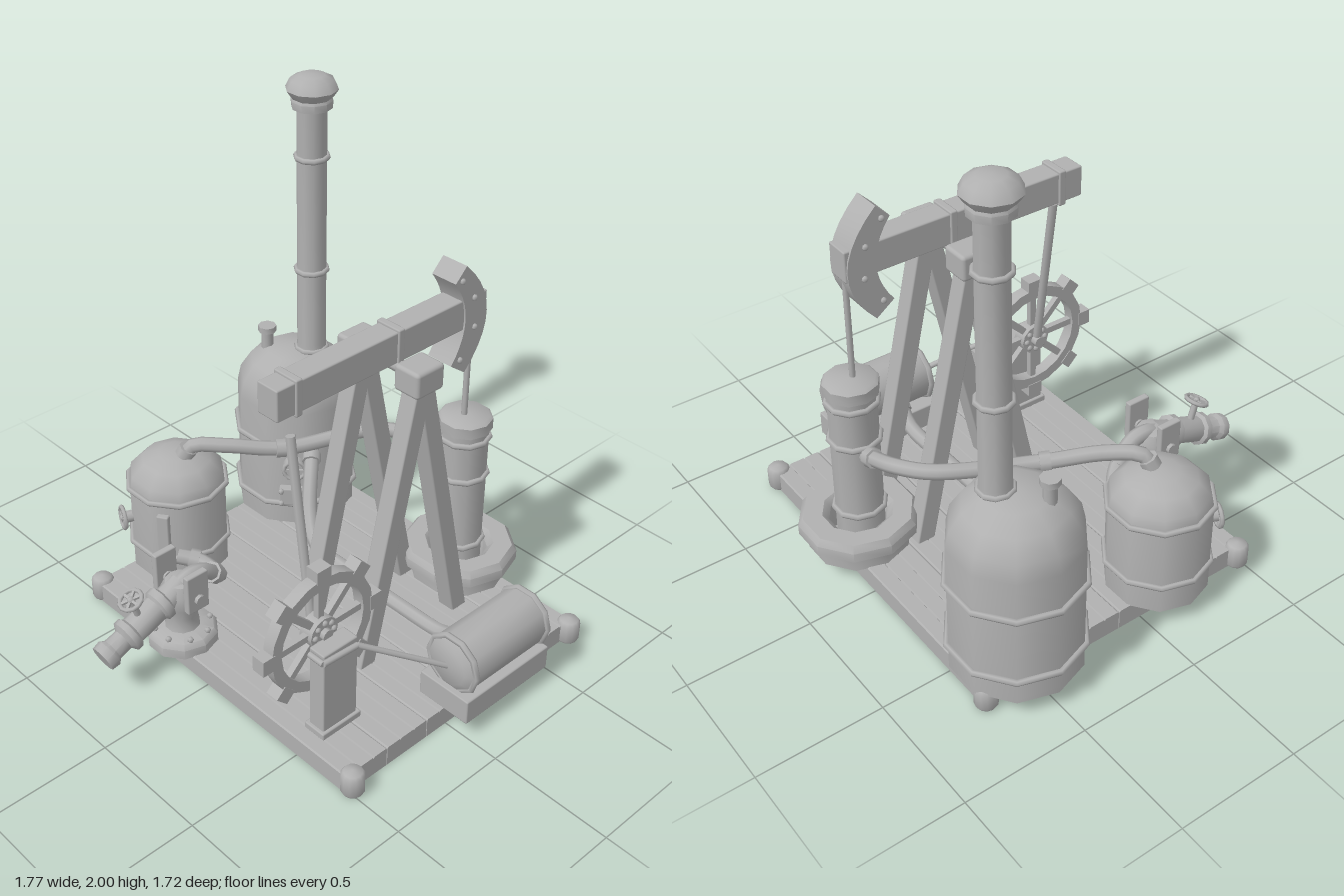
import * as THREE from 'three';
import { toCreasedNormals } from 'three/addons/utils/BufferGeometryUtils.js';
import { RoundedBoxGeometry } from 'three/addons/geometries/RoundedBoxGeometry.js';

const V = (p) => new THREE.Vector3(...p);
const UP = new THREE.Vector3(0, 1, 0);

export function createModel() {
  const model = new THREE.Group();
  model.name = 'beamPumpEngine';
  const grey = new THREE.MeshStandardMaterial({ color: 0xb0b0b0 });
  grey.name = 'plain grey';

  const add = (name, geo, pos = [0, 0, 0], dir = null, parent = model) => {
    const m = new THREE.Mesh(geo, grey);
    m.name = name;
    m.position.set(...pos);
    if (dir) m.quaternion.setFromUnitVectors(UP, V(dir).normalize());
    parent.add(m);
    return m;
  };
  const box = (name, w, h, d, pos) => add(name, new RoundedBoxGeometry(w, h, d, 1, 0.006), pos);
  // turned part: profile of [radius, height] from bottom to top along dir
  const turned = (name, pts, pos, dir, sides = 10) => add(name, toCreasedNormals(
    new THREE.LatheGeometry(pts.map((p) => new THREE.Vector2(...p)), sides, Math.PI / 2), 0.8), pos, dir);
  const band = (name, r, pos, dir = [0, 1, 0], t = 0.013) =>
    add(name, new THREE.TorusGeometry(r, t, 6, 10).rotateX(Math.PI / 2), pos, dir);
  const between = (name, a, b, geoFor) => {
    const d = V(b).sub(V(a));
    return add(name, geoFor(d.length()), V(a).add(V(b)).multiplyScalar(0.5).toArray(), d.toArray());
  };
  const rod = (name, a, b, r, sides = 8) => between(name, a, b, (l) => new THREE.CylinderGeometry(r, r, l, sides));
  const beam = (name, a, b, w, d) => between(name, a, b, (l) => new RoundedBoxGeometry(w, l, d, 1, 0.006));
  const pipe = (name, pts, r, collars) => {
    const curve = new THREE.CatmullRomCurve3(pts.map(V));
    add(name, new THREE.TubeGeometry(curve, 32, r, 8));
    collars.forEach((t) => {
      const c = curve.getPointAt(t), d = curve.getTangentAt(t).multiplyScalar(0.02);
      rod(name + 'Collar', c.clone().sub(d).toArray(), c.clone().add(d).toArray(), r * 1.3);
    });
  };
  const handWheel = (name, r, pos, dir) => {
    const g = new THREE.Group();
    g.name = name;
    add(name + 'Rim', new THREE.TorusGeometry(r, 0.009, 6, 12), [0, 0, 0], null, g);
    for (let i = 0; i < 3; i++) {
      add(name + 'Spoke', new THREE.BoxGeometry(r * 2, 0.01, 0.01), [0, 0, 0], null, g).rotation.z = i * Math.PI / 3;
    }
    add(name + 'Hub', new THREE.SphereGeometry(0.014, 8, 6), [0, 0, 0], null, g);
    g.position.set(...pos);
    g.quaternion.setFromUnitVectors(new THREE.Vector3(0, 0, 1), V(dir).normalize());
    model.add(g);
  };
  const bolt = (name, pos, parent = model) => add(name, new THREE.SphereGeometry(0.013, 6, 4), pos, null, parent);
  // outline in (-z, y), extruded along x
  const slab = (shape, depth, crease) => toCreasedNormals(new THREE.ExtrudeGeometry(shape,
    { depth, bevelEnabled: false, curveSegments: 10 }).rotateY(Math.PI / 2), crease);

  // plank platform: each plank has chamfered edges and narrow grain grooves
  const section = [[-0.101, 0], [0.101, 0], [0.101, 0.078], [0.096, 0.084]];
  for (const u of [0.035, -0.035]) section.push([u + 0.004, 0.084], [u, 0.077], [u - 0.004, 0.084]);
  section.push([-0.096, 0.084], [-0.101, 0.078]);
  const plank = slab(new THREE.Shape(section.map((p) => new THREE.Vector2(...p))), 1.455, 0.3);
  for (let i = 0; i < 6; i++) add('plank', plank, [-0.7, 0, 0.412 - i * 0.2055]);
  for (const x of [-0.7, 0.76]) for (const z of [0.485, -0.7]) {
    turned('cornerPost', [[0, 0], [0.038, 0], [0.045, 0.012], [0.045, 0.085], [0.036, 0.097], [0, 0.104]], [x, 0, z], null, 12);
  }

  // large boiler with chimney and relief pipe
  turned('largeBoiler', [[0, 0.08], [0.25, 0.08], [0.25, 0.63], [0.235, 0.7], [0.19, 0.77], [0.12, 0.815], [0, 0.825]], [-0.62, 0, -0.51]);
  for (const y of [0.185, 0.47]) band('largeBoilerBand', 0.255, [-0.62, y, -0.51]);
  turned('chimney', [[0.068, 0.78], [0.06, 0.85], [0.06, 1.87], [0.08, 1.87], [0.083, 1.9], [0.078, 1.91], [0.09, 1.925],
    [0.103, 1.945], [0.085, 1.98], [0.05, 1.997], [0, 2]], [-0.57, 0, -0.555]);
  for (const y of [0.825, 1.185, 1.67]) band('chimneyBand', 0.062, [-0.57, y, -0.555], [0, 1, 0], 0.012);
  turned('reliefPipe', [[0.025, 0.72], [0.025, 0.88], [0.038, 0.88], [0.038, 0.905], [0, 0.905]], [-0.715, 0, -0.44], null, 8);
  rod('boilerGauge', [-0.45, 0.38, -0.35], [-0.425, 0.38, -0.325], 0.05, 12);
  handWheel('boilerGaugeDial', 0.045, [-0.42, 0.38, -0.32], [0.72, 0, 0.69]);
  box('fireDoor', 0.13, 0.08, 0.04, [-0.435, 0.24, -0.335]).rotation.y = Math.PI / 4;
  for (const s of [-1, 1]) for (const y of [0.21, 0.27]) bolt('fireDoorBolt', [-0.42 + s * 0.04, y, -0.32 - s * 0.04]);

  // small boiler with valve wheel and door plate
  turned('smallBoiler', [[0, 0.08], [0.2, 0.08], [0.2, 0.46], [0.19, 0.51], [0.14, 0.56], [0.07, 0.588], [0, 0.592]], [-0.625, 0, 0.135]);
  for (const y of [0.2, 0.46]) band('smallBoilerBand', 0.203, [-0.625, y, 0.135], [0, 1, 0], 0.012);
  rod('boilerValveStem', [-0.69, 0.32, 0.3], [-0.71, 0.32, 0.35], 0.025);
  handWheel('boilerValveWheel', 0.045, [-0.712, 0.32, 0.352], [-0.4, 0, 1]);
  box('boilerDoor', 0.05, 0.21, 0.05, [-0.52, 0.305, 0.29]).rotation.y = 0.55;

  // pipes
  pipe('steamPipe', [[-0.59, 0.57, 0.13], [-0.56, 0.63, 0.1], [-0.47, 0.63, 0], [-0.34, 0.595, -0.19], [-0.17, 0.61, -0.54],
    [-0.06, 0.6, -0.62], [0.06, 0.56, -0.635], [0.15, 0.53, -0.635]], 0.03, [0.03, 0.36, 0.95]);
  pipe('feedPipe', [[-0.42, 0.47, -0.42], [-0.35, 0.44, -0.35], [-0.24, 0.28, -0.24], [-0.15, 0.21, -0.195], [0, 0.195, -0.19],
    [0.3, 0.19, -0.19], [0.54, 0.195, -0.19], [0.62, 0.235, -0.18], [0.68, 0.28, -0.17]], 0.03, [0.06, 0.5, 0.95]);
  pipe('pumpPipe', [[-0.47, 0.22, 0.27], [-0.4, 0.2, 0.21], [-0.32, 0.19, 0.2], [-0.24, 0.25, 0.25], [-0.21, 0.34, 0.35],
    [-0.21, 0.355, 0.42], [-0.21, 0.335, 0.48]], 0.033, [0.12, 0.62]);

  // outlet pump
  const px = -0.21, pz = 0.46;
  turned('pumpBase', [[0, 0.08], [0.14, 0.08], [0.14, 0.12], [0.125, 0.14], [0.07, 0.15], [0.06, 0.2], [0.08, 0.26],
    [0.08, 0.32], [0.06, 0.36], [0, 0.375]], [px, 0, pz]);
  for (let i = 0; i < 8; i++) {
    const a = i * Math.PI / 4 + 0.4;
    bolt('baseBolt', [px + 0.11 * Math.cos(a), 0.147, pz + 0.11 * Math.sin(a)]);
  }
  for (const s of [-1, 1]) {
    box('pumpCheek', 0.03, 0.17, 0.1, [px + s * 0.095, 0.36, pz]);
    rod('cheekBolt', [px + s * 0.07, 0.33, pz], [px + s * 0.125, 0.33, pz], 0.022);
  }
  turned('outletNozzle', [[0.05, 0], [0.05, 0.08], [0.068, 0.09], [0.068, 0.12], [0.055, 0.13], [0.055, 0.25], [0.068, 0.26],
    [0.068, 0.285], [0.043, 0.3], [0.045, 0.355], [0.058, 0.37], [0.054, 0.405], [0, 0.405]], [px, 0.335, pz], [0, -0.36, 0.93]);
  rod('outletValveStem', [px, 0.27, 0.655], [px, 0.39, 0.69], 0.014);
  handWheel('outletValveWheel', 0.045, [px, 0.39, 0.692], [0, 0.9, 0.42]);

  // A-frames, one each side of the walking beam
  for (const x of [0.077, 0.366]) {
    for (const z of [0.06, -0.455]) beam('frameLeg', [x, 0.07, z], [x, 1.24, -0.195], 0.075, 0.075);
    add('frameCap', new RoundedBoxGeometry(0.118, 0.105, 0.138, 2, 0.015), [x, 1.252, -0.195]);
  }
  rod('beamAxle', [0.05, 1.25, -0.195], [0.39, 1.25, -0.195], 0.025);

  // walking beam with curved head
  const bx = 0.222;
  box('walkingBeam', 0.1, 0.125, 1.03, [bx, 1.328, -0.13]);
  for (const z of [0.29, -0.195]) box('beamStrap', 0.115, 0.145, 0.03, [bx, 1.328, z]);
  const head = new THREE.Shape();
  head.moveTo(0.535, 1.085);
  head.quadraticCurveTo(0.755, 1.31, 0.515, 1.535);
  head.lineTo(0.46, 1.48);
  head.quadraticCurveTo(0.59, 1.31, 0.46, 1.14);
  add('beamHead', slab(head, 0.115, 0.6), [bx - 0.0575, 0, 0]);
  for (const s of [-1, 1]) for (const [y, z] of [[1.48, -0.495], [1.39, -0.565], [1.265, -0.575], [1.15, -0.505]]) {
    bolt('headRivet', [bx + s * 0.058, y, z]);
  }
  rod('pumpRod', [bx, 0.8, -0.62], [bx, 1.3, -0.62], 0.012);

  // well cylinder on its ring base
  turned('wellCylinder', [[0, 0.08], [0.095, 0.08], [0.095, 0.775], [0.107, 0.78], [0.107, 0.825], [0.095, 0.835], [0, 0.838]], [bx, 0, -0.63]);
  for (const y of [0.25, 0.57, 0.74]) band('cylinderBand', 0.097, [bx, y, -0.63]);
  turned('wellRing', [[0.115, 0.08], [0.2, 0.08], [0.2, 0.145], [0.235, 0.155], [0.235, 0.195], [0.215, 0.22], [0.14, 0.22],
    [0.115, 0.195], [0.115, 0.08]], [bx, 0, -0.64]);

  // flywheel with lugs and spokes
  const wheel = new THREE.Group();
  wheel.name = 'flywheel';
  const rim = new THREE.Shape().absarc(0, 0, 0.243, 0, Math.PI * 2);
  rim.holes.push(new THREE.Path().absarc(0, 0, 0.198, 0, Math.PI * 2, true));
  add('flywheelRim', slab(rim, 0.05, 0.7), [-0.025, 0, 0], null, wheel);
  for (let i = 0; i < 8; i++) {
    const arm = new THREE.Group();
    arm.name = 'flywheelArm';
    add('flywheelLug', new THREE.BoxGeometry(0.056, 0.055, 0.065), [0, 0.257, 0], null, arm);
    add('flywheelSpoke', new THREE.BoxGeometry(0.025, 0.19, 0.028), [0, 0.115, 0], null, arm);
    for (const s of [-1, 1]) bolt('hubBolt', [s * 0.03, 0.045, 0], arm);
    arm.rotation.x = i * Math.PI / 4;
    wheel.add(arm);
  }
  add('flywheelHub', new THREE.CylinderGeometry(0.065, 0.065, 0.06, 12), [0, 0, 0], [1, 0, 0], wheel);
  wheel.position.set(0.45, 0.475, 0.36);
  model.add(wheel);
  rod('wheelAxle', [0.39, 0.475, 0.36], [0.5, 0.475, 0.36], 0.024);
  rod('connectingRod', [0.28, 1.2, 0.335], [0.41, 0.5, 0.36], 0.018);

  // bearing pillar with crank and drive rod
  box('bearingPillar', 0.075, 0.38, 0.165, [0.525, 0.275, 0.358]);
  box('pillarFoot', 0.1, 0.03, 0.19, [0.525, 0.095, 0.358]);
  const crank = [[0.5, 0.445, 0.45], [0.57, 0.445, 0.45], [0.575, 0.44, 0.29]];
  for (let i = 0; i < 2; i++) rod('crank', crank[i], crank[i + 1], 0.012);
  rod('driveRod', crank[2], [0.75, 0.28, 0], 0.012);

  // horizontal tank on its cradle
  turned('tank', [[0, -0.225], [0.08, -0.222], [0.115, -0.2], [0.115, 0.2], [0.08, 0.222], [0, 0.225]], [0.755, 0.285, -0.215], [0, 0, 1]);
  for (const z of [-0.41, -0.02]) band('tankBand', 0.115, [0.755, 0.285, z], [0, 0, 1]);
  box('tankCradle', 0.235, 0.105, 0.45, [0.748, 0.132, -0.21]);

  return model;
}
